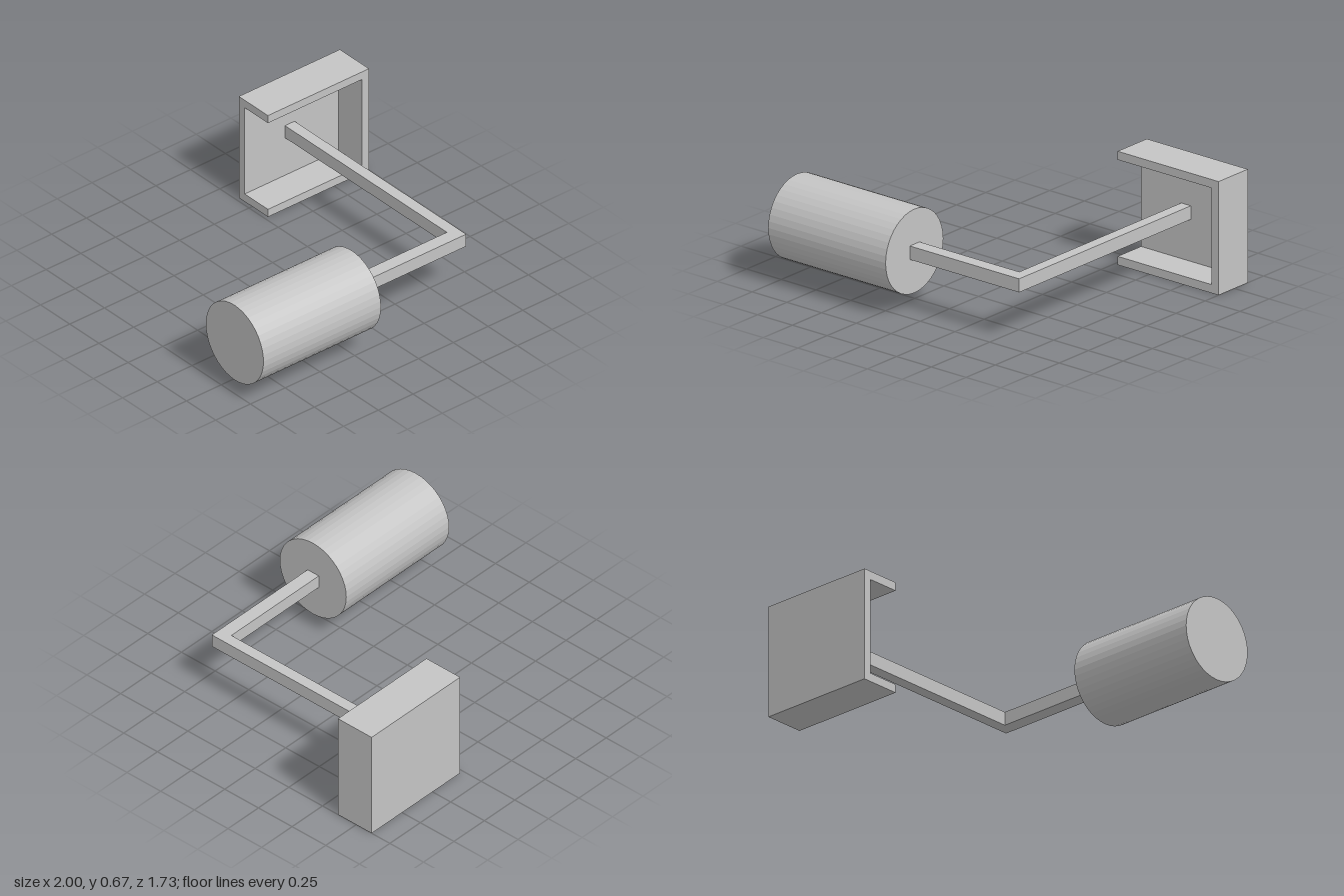
import * as THREE from 'three';

export function createModel() {
  const model = new THREE.Group();
  model.name = 'bracketWithDrum';
  const grey = new THREE.MeshStandardMaterial({ color: 0xc4c4c4 });
  grey.name = 'light grey';
  // same grey, with faceted shading for the drum
  const add = (parent, name, geometry) => {
    const mesh = new THREE.Mesh(geometry, grey);
    mesh.name = name;
    parent.add(mesh);
    return mesh;
  };

  // Box given by its two extreme corners
  const addBox = (parent, name, [x0, y0, z0], [x1, y1, z1]) => {
    const mesh = add(parent, name, new THREE.BoxGeometry(x1 - x0, y1 - y0, z1 - z0));
    mesh.position.set((x0 + x1) / 2, (y0 + y1) / 2, (z0 + z1) / 2);
  };

  // Drum lying along x, with flat facets
  const drumGeometry = new THREE.CylinderGeometry(0.247, 0.247, 0.845, 40).toNonIndexed();
  drumGeometry.computeVertexNormals();
  const drum = add(model, 'drum', drumGeometry);
  drum.rotation.z = Math.PI / 2;
  drum.position.set(-0.5775, 0.337, 0.615);

  // Bent arm: an L outline in x and z, extruded downwards
  const outline = [
    [-0.155, 0.572], [0.563, 0.572], [0.563, -0.815],
    [0.632, -0.815], [0.632, 0.655], [-0.155, 0.655],
  ].map(([x, z]) => new THREE.Vector2(x, z));
  const armGeometry = new THREE.ExtrudeGeometry(new THREE.Shape(outline), {
    depth: 0.08, bevelEnabled: false,
  });
  armGeometry.rotateX(Math.PI / 2);
  add(model, 'bentArm', armGeometry).position.y = 0.378;

  // Housing, open at the front and on the side towards the drum
  const housing = new THREE.Group();
  housing.name = 'openHousing';
  model.add(housing);
  const x0 = 0.273, x1 = 1, top = 0.67, back = -0.865, front = -0.615, t = 0.05;
  addBox(housing, 'backWall', [x0, 0, back], [x1, top, back + t]);
  addBox(housing, 'topWall', [x0, top - t, back + t], [x1, top, front]);
  addBox(housing, 'bottomWall', [x0, 0, back + t], [x1, t, front]);
  addBox(housing, 'sideWall', [x1 - t, t, back + t], [x1, top - t, front]);

  return model;
}
